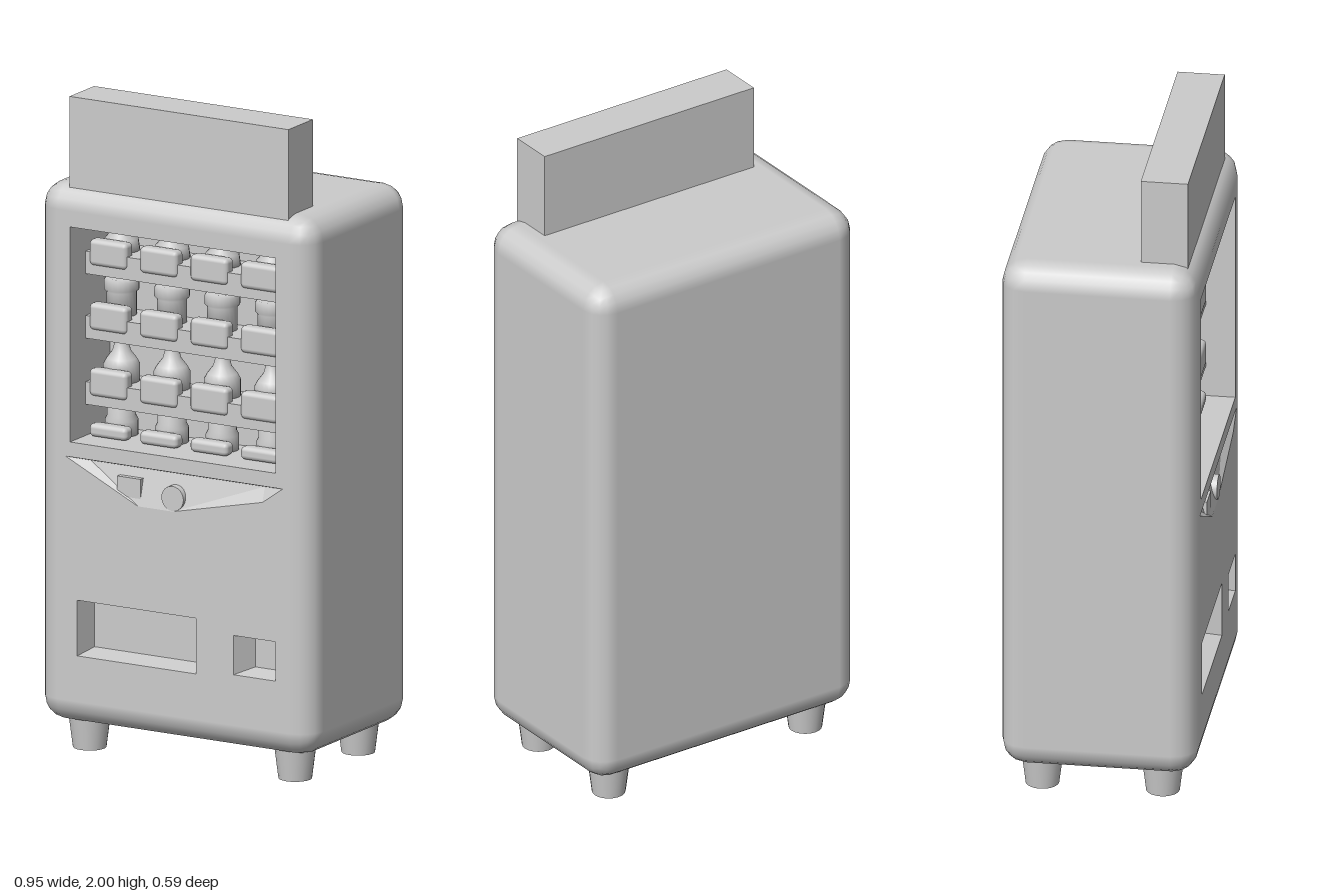
import * as THREE from 'three';
import { RoundedBoxGeometry } from 'three/addons/geometries/RoundedBoxGeometry.js';

const FRONT = 0.293, R = 0.075, W = 0.95, Y0 = 0.09, Y1 = 1.735;
const grey = new THREE.MeshStandardMaterial({ color: 0xcccccc, side: THREE.DoubleSide });

function add(parent, name, geometry, x = 0, y = 0, z = 0) {
  const mesh = new THREE.Mesh(geometry, grey);
  mesh.name = name;
  mesh.position.set(x, y, z);
  parent.add(mesh);
  return mesh;
}

function facets(triangles) {
  const g = new THREE.BufferGeometry();
  g.setAttribute('position', new THREE.Float32BufferAttribute(triangles.flat(2), 3));
  g.computeVertexNormals();
  return g;
}

const rect = (x0, x1, y0, y1) => [[x0, y0], [x1, y0], [x1, y1], [x0, y1]];

// Open-fronted pocket: four walls from an outer to an inner outline, plus a back
function pocket(outer, inner, depth) {
  const f = outer.map(p => [...p, FRONT]);
  const b = inner.map(p => [...p, FRONT - depth]);
  const tris = [[b[0], b[1], b[2]], [b[0], b[2], b[3]]];
  for (let i = 0; i < 4; i++) {
    const j = (i + 1) % 4;
    tris.push([f[i], f[j], b[j]], [f[i], b[j], b[i]]);
  }
  return facets(tris);
}

// Rounded cabinet with its flat front removed
function cabinetShell() {
  const h = Y1 - Y0;
  const box = new RoundedBoxGeometry(W, h, FRONT * 2, 2, R);
  const pos = box.attributes.position, nor = box.attributes.normal;
  const p = [], n = [];
  for (let i = 0; i < pos.count; i += 3) {
    if ([0, 1, 2].every(k => pos.getZ(i + k) > FRONT - 0.0005)) continue;
    for (let k = i; k < i + 3; k++) {
      p.push(pos.getX(k), pos.getY(k), pos.getZ(k));
      n.push(nor.getX(k), nor.getY(k), nor.getZ(k));
    }
  }
  const g = new THREE.BufferGeometry();
  g.setAttribute('position', new THREE.Float32BufferAttribute(p, 3));
  g.setAttribute('normal', new THREE.Float32BufferAttribute(n, 3));
  return g.translate(0, (Y0 + Y1) / 2, 0);
}

// Turned container; profile is [radius, height] pairs
const turned = profile =>
  new THREE.LatheGeometry(profile.map(([r, y]) => new THREE.Vector2(r, y)), 20);

export function createModel() {
  const model = new THREE.Group();
  model.name = 'vendingMachine';

  const windowRect = rect(-0.355, 0.355, 0.955, 1.612);
  const trayRect = rect(-0.33, 0.08, 0.305, 0.475);
  const returnRect = rect(0.21, 0.355, 0.32, 0.44);
  const coinOutline = [[-0.37, 0.91], [-0.12, 0.79], [0, 0.79], [0.31, 0.86], [0.38, 0.91]];

  // Cabinet and pierced front panel
  add(model, 'cabinet', cabinetShell());
  const hw = W / 2 - R;
  const toPoints = pts => pts.map(([x, y]) => new THREE.Vector2(x, y));
  const panel = new THREE.Shape(toPoints(rect(-hw, hw, Y0 + R, Y1 - R)));
  for (const hole of [windowRect, trayRect, returnRect, coinOutline])
    panel.holes.push(new THREE.Path(toPoints(hole)));
  add(model, 'frontPanel', new THREE.ShapeGeometry(panel), 0, 0, FRONT);

  // Recesses
  add(model, 'displayRecess', pocket(windowRect, windowRect, 0.23));
  add(model, 'deliveryTray', pocket(trayRect, rect(-0.318, 0.068, 0.317, 0.463), 0.08));
  add(model, 'coinReturn', pocket(returnRect, rect(0.243, 0.342, 0.333, 0.42), 0.07));

  // Sloping coin area, deepest along its top edge
  const [L, P1, P2, P3, Rt] = coinOutline.map(p => [...p, FRONT]);
  const A = [-0.3, 0.9, FRONT - 0.03], B = [0.3, 0.9, FRONT - 0.03];
  add(model, 'coinRecess', facets([
    [L, P1, A], [A, P1, B], [B, P1, P2], [B, P2, P3], [B, P3, Rt], [L, A, B], [L, B, Rt],
  ]));
  add(model, 'coinSlotPlate', new THREE.BoxGeometry(0.08, 0.06, 0.03), -0.155, 0.842, FRONT - 0.02);
  const knob = new THREE.CylinderGeometry(0.038, 0.038, 0.04, 24).rotateX(Math.PI / 2);
  add(model, 'coinKnob', knob, 0, 0.83, FRONT - 0.018);

  // Stocked shelves
  const bottle = turned([[0, 0], [0.055, 0], [0.055, 0.05], [0.045, 0.068], [0.028, 0.09],
    [0.02, 0.118], [0.02, 0.127], [0, 0.127]]);
  const shortBottle = turned([[0, 0], [0.055, 0], [0.05, 0.035], [0.028, 0.06],
    [0.024, 0.091], [0, 0.091]]);
  const can = turned([[0, 0], [0.045, 0], [0.045, 0.07], [0.053, 0.078], [0.053, 0.104],
    [0.047, 0.113], [0, 0.113]]);
  const jar = turned([[0, 0], [0.05, 0], [0.05, 0.045], [0.043, 0.058], [0.043, 0.084],
    [0.036, 0.094], [0, 0.094]]);
  const rows = [
    { y: 1.519, item: shortBottle, holder: 0.04 },
    { y: 1.322, item: can, holder: 0.042 },
    { y: 1.12, item: bottle, holder: 0.044 },
    { y: 0.956, item: jar, holder: 0.04 },
  ];
  rows.forEach(({ y, item, holder }, r) => {
    const shelf = new THREE.Group();
    shelf.name = 'shelfRow' + (r + 1);
    model.add(shelf);
    if (r < 3) add(shelf, 'shelf', new THREE.BoxGeometry(0.708, 0.069, 0.14), 0, y - 0.0345, 0.135);
    for (let i = 0; i < 4; i++) {
      const x = -0.275 + i * 0.174;
      add(shelf, 'container', item, x, y, 0.13);
      const sunk = r < 3 ? 0.04 : 0;
      add(shelf, 'holder', new RoundedBoxGeometry(0.13, holder + sunk, 0.045, 2, 0.014),
        x, y + (holder - sunk) / 2, 0.191);
    }
  });

  // Sign board on top
  add(model, 'signBoard', new THREE.BoxGeometry(0.756, 0.28, 0.141), 0, 1.86, 0.1875);

  // Tapered feet
  for (const x of [-0.355, 0.355])
    for (const z of [-0.18, 0.18])
      add(model, 'foot', new THREE.CylinderGeometry(0.064, 0.05, 0.11, 20), x, 0.055, z);

  return model;
}
